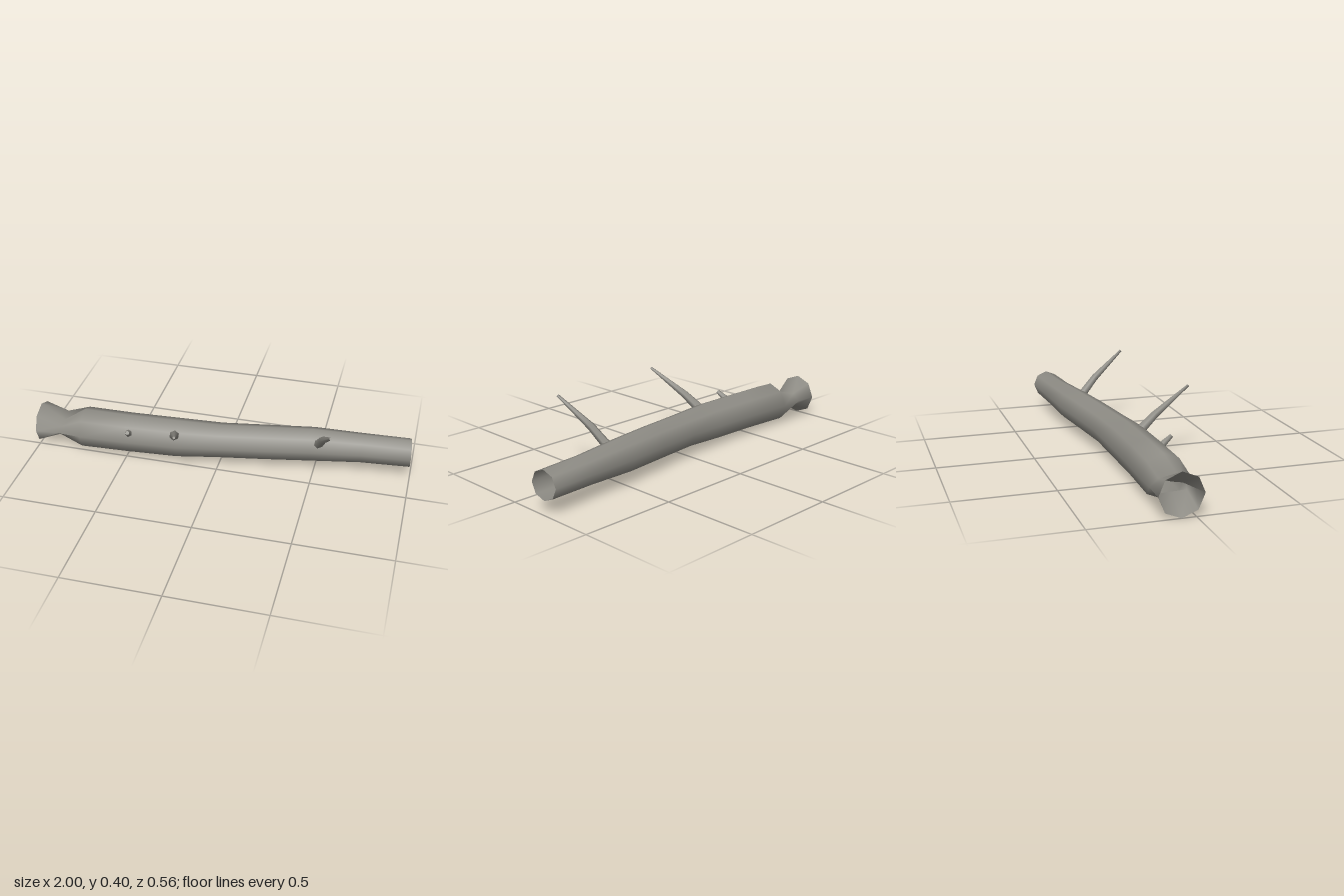
import * as THREE from 'three';

const bark = new THREE.MeshStandardMaterial({ color: 0x8f8d86, side: THREE.DoubleSide });
bark.name = 'greyBark';

// Skin a list of equal-sized rings; optionally close the far end
function loft(name, rings, capEnd = false) {
  const n = rings[0].length, pos = [], index = [];
  rings.forEach(r => r.forEach(p => pos.push(p.x, p.y, p.z)));
  for (let i = 0; i < rings.length - 1; i++) {
    for (let j = 0; j < n; j++) {
      const k = (j + 1) % n;
      const a = i * n + j, b = a + n, c = (i + 1) * n + k, d = i * n + k;
      index.push(a, b, c, a, c, d);
    }
  }
  if (capEnd) {
    // separate vertices keep the cut end flat
    const start = pos.length / 3;
    rings[rings.length - 1].forEach(p => pos.push(p.x, p.y, p.z));
    for (let j = 1; j < n - 1; j++) index.push(start, start + j + 1, start + j);
  }
  const g = new THREE.BufferGeometry();
  g.setAttribute('position', new THREE.Float32BufferAttribute(pos, 3));
  g.setIndex(index);
  g.computeVertexNormals();
  const mesh = new THREE.Mesh(g, bark);
  mesh.name = name;
  return mesh;
}

// Eight-sided trunk ring from its lowest/highest y and its back/front z
function trunkRing([x, y0, y1, z0, z1]) {
  return Array.from({ length: 8 }, (_, j) => {
    const a = j * Math.PI / 4;
    return new THREE.Vector3(x,
      (y0 + y1) / 2 + Math.sin(a) * (y1 - y0) / 2,
      (z0 + z1) / 2 + Math.cos(a) * (z1 - z0) / 2);
  });
}

// Tapered six-sided twig through points [x, y, z, radius]
function twig(name, points) {
  const path = points.map(p => new THREE.Vector3(p[0], p[1], p[2]));
  const rings = path.map((p, i) => {
    const d = path[Math.min(i + 1, path.length - 1)].clone()
      .sub(path[Math.max(i - 1, 0)]).normalize();
    const u = new THREE.Vector3(1, 0, 0).cross(d).normalize();
    const v = u.clone().cross(d);
    return Array.from({ length: 6 }, (_, j) => {
      const a = j * Math.PI / 3;
      return p.clone().addScaledVector(u, Math.cos(a) * points[i][3])
        .addScaledVector(v, Math.sin(a) * points[i][3]);
    });
  });
  return loft(name, rings, true);
}

export function createModel() {
  const group = new THREE.Group();
  group.name = 'fallenLog';

  // Hollow trunk: x, bottom, top, back, front
  const rings = [
    [-1, 0.003, 0.217, -0.178, 0.04],
    [-0.75, 0.003, 0.222, -0.177, 0.042],
    [-0.5, 0.011, 0.224, -0.174, 0.04],
    [-0.22, 0.019, 0.228, -0.18, 0.03],
    [0, 0.036, 0.224, -0.19, 0],
    [0.24, 0.042, 0.229, -0.222, -0.035],
    [0.48, 0.048, 0.232, -0.255, -0.075],
    [0.74, 0.063, 0.221, -0.269, -0.113],
    [0.99, 0.067, 0.217, -0.283, -0.132],
  ].map(trunkRing);
  rings[8].forEach(p => { p.x += (p.z + 0.207) * 0.1; });

  // Chopped neck, pinched nearly flat: [y, z] from the front, over the top
  const neck = [[0.115, 0.038], [0.12, -0.02], [0.13, -0.075], [0.15, -0.135],
    [0.115, -0.177], [0.08, -0.14], [0.083, -0.07], [0.085, 0]]
    .map(([y, z]) => new THREE.Vector3(-0.875, y, z));
  rings.splice(1, 0, neck);
  group.add(loft('trunk', rings));

  // Twigs rooted inside the trunk
  group.add(twig('middleTwig', [
    [-0.25, 0.14, -0.05, 0.028], [-0.225, 0.19, 0.01, 0.026],
    [-0.205, 0.243, 0.078, 0.021], [-0.145, 0.365, 0.277, 0.007],
  ]));
  group.add(twig('endTwig', [
    [0.5, 0.145, -0.15, 0.028], [0.527, 0.2, -0.09, 0.023],
    [0.55, 0.267, -0.025, 0.02], [0.61, 0.4, 0.148, 0.007],
  ]));
  group.add(twig('brokenStub', [
    [-0.485, 0.14, -0.02, 0.024], [-0.475, 0.172, 0.025, 0.019], [-0.463, 0.207, 0.074, 0.011],
  ]));
  return group;
}
